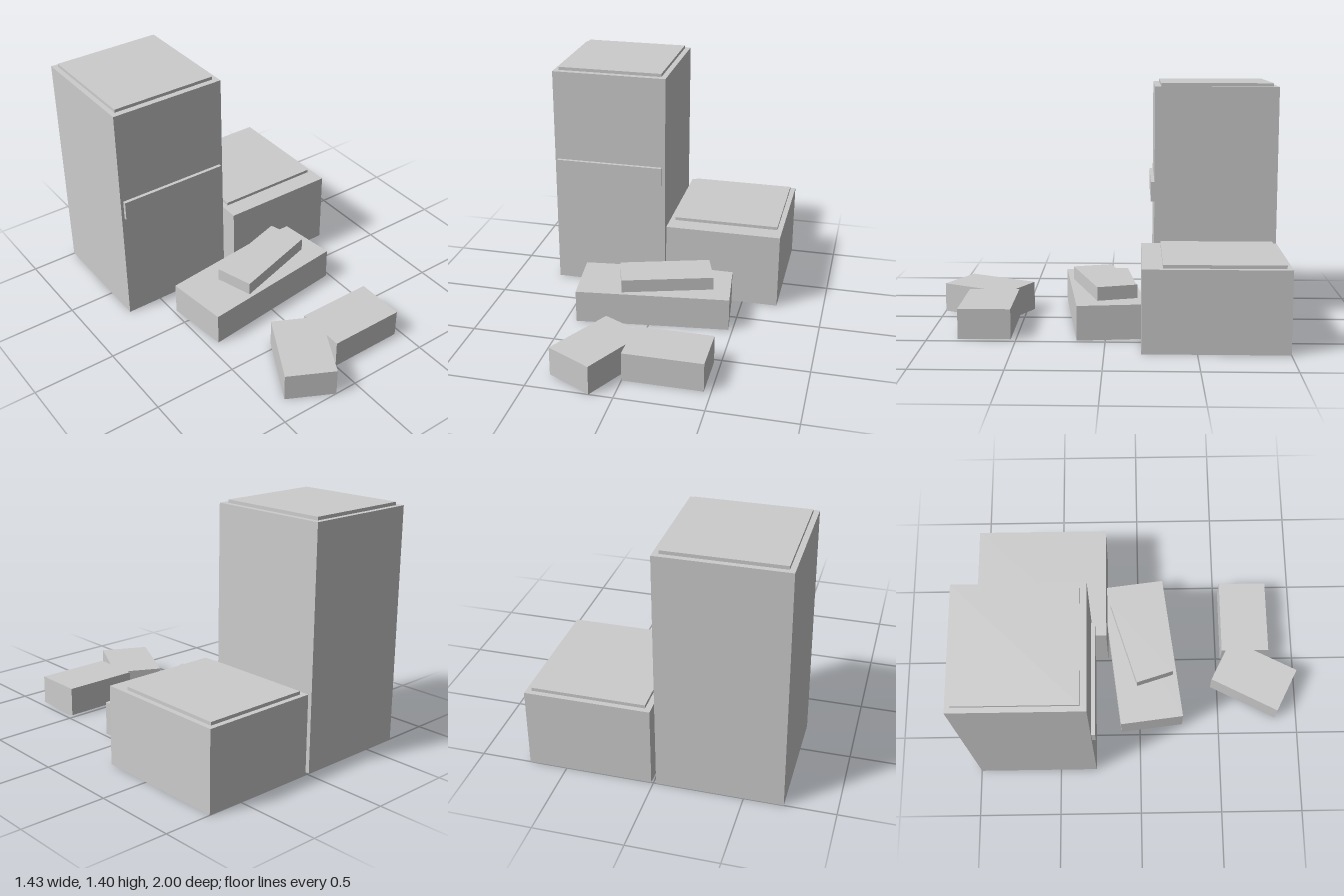
import * as THREE from 'three';

export function createModel() {
  const model = new THREE.Group();
  model.name = 'blockBuildings';
  const grey = new THREE.MeshStandardMaterial({ color: 0xcccccc });
  grey.name = 'light grey';

  function add(name, geometry) {
    const mesh = new THREE.Mesh(geometry, grey);
    mesh.name = name;
    model.add(mesh);
    return mesh;
  }

  // Box given by its lower and upper corners
  function block(name, [x0, y0, z0], [x1, y1, z1]) {
    const mesh = add(name, new THREE.BoxGeometry(x1 - x0, y1 - y0, z1 - z0));
    mesh.position.set((x0 + x1) / 2, (y0 + y1) / 2, (z0 + z1) / 2);
    return mesh;
  }

  // Box turned about the vertical axis, standing at height y
  function turnedBlock(name, width, height, depth, x, y, z, angle) {
    const mesh = add(name, new THREE.BoxGeometry(width, height, depth));
    mesh.position.set(x, y + height / 2, z);
    mesh.rotation.y = angle;
    return mesh;
  }

  // Tower with roof slab and front band
  block('tower', [-0.718, 0, -1], [-0.015, 1.385, -0.277]);
  block('towerRoof', [-0.688, 1.385, -0.97], [-0.048, 1.404, -0.313]);
  block('towerBand', [-0.701, 0.705, -0.277], [-0.036, 0.821, -0.256]);

  // Low block with roof slab
  block('lowBlock', [0.012, 0, -1], [0.716, 0.463, -0.2]);
  block('lowBlockRoof', [0.045, 0.463, -0.97], [0.685, 0.482, -0.313]);

  // Turned podium with a smaller block on top
  turnedBlock('podium', 0.918, 0.199, 0.39, -0.002, 0, 0.02, 0.12);
  turnedBlock('podiumTop', 0.55, 0.079, 0.237, 0.063, 0.199, 0.016, 0.301);

  // Bent pavilion, outlined in plan as (x, z)
  const plan = [
    [0, 0.53], [0.46, 0.53], [0.46, 0.828], [0, 0.828], [0, 0.734],
    [-0.137, 1], [-0.4, 0.863], [-0.19, 0.457], [0, 0.555],
  ];
  const shape = new THREE.Shape(plan.map(([x, z]) => new THREE.Vector2(x, -z)));
  const pavilion = new THREE.ExtrudeGeometry(shape, { depth: 0.173, bevelEnabled: false });
  pavilion.rotateX(-Math.PI / 2);
  add('bentPavilion', pavilion);

  return model;
}
